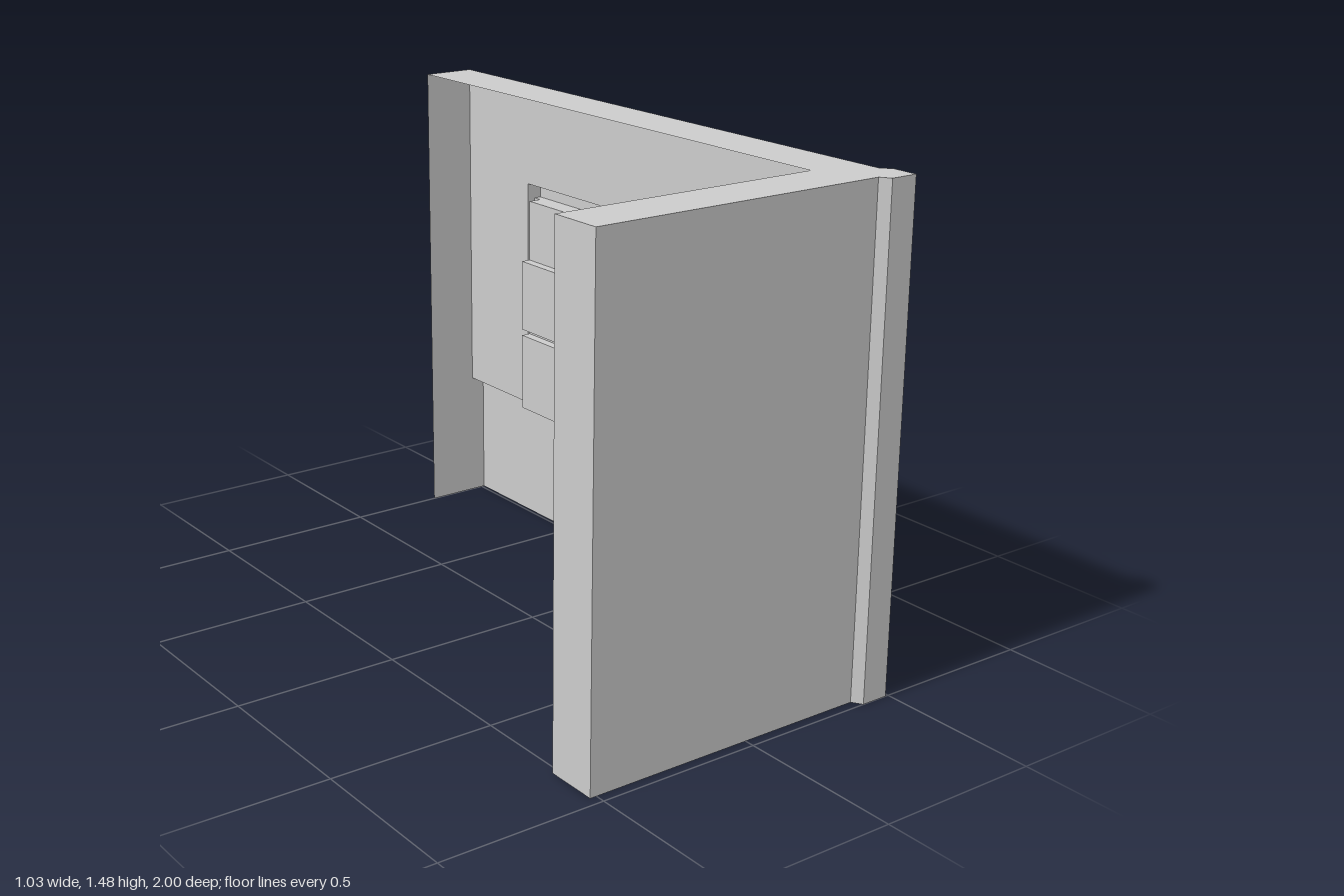
import * as THREE from 'three';

const material = new THREE.MeshStandardMaterial({ color: 0xcccccc, flatShading: true, side: THREE.DoubleSide });

const HEIGHT = 1.48, SILL = 0.41;      // wall top, dado top
const FACE = 0.465, DADO = 0.51;       // x of wall face and dado face
const GLASS = 0.42, BAR = 0.45, TRIM = 0.492, HEAD = 0.515;
const HALF = 0.247, TRIM_W = 0.03, LINTEL = 1.105, HEAD_TOP = 1.155;
const WINDOWS = [0.403, -0.423];       // z of the window centres

function mesh(name, geometry) {
  const m = new THREE.Mesh(geometry, material);
  m.name = name;
  return m;
}

// Upright surface along a path of [x, z] points; faces to the right of travel
function ribbon(name, path, y0, y1) {
  const pos = [];
  for (let i = 0; i < path.length - 1; i++) {
    const [ax, az] = path[i], [bx, bz] = path[i + 1];
    pos.push(ax, y0, az, bx, y0, bz, bx, y1, bz, ax, y0, az, bx, y1, bz, ax, y1, az);
  }
  const g = new THREE.BufferGeometry();
  g.setAttribute('position', new THREE.Float32BufferAttribute(pos, 3));
  g.computeVertexNormals();
  return mesh(name, g);
}

// Level surface with an outline of [x, z] points
function slab(name, outline, y, down = false) {
  const shape = new THREE.Shape(outline.map(([x, z]) => new THREE.Vector2(x, down ? z : -z)));
  const g = new THREE.ShapeGeometry(shape);
  g.rotateX(down ? Math.PI / 2 : -Math.PI / 2);
  g.translate(0, y, 0);
  return mesh(name, g);
}

const ledge = (name, x0, x1, z0, z1, y, down) =>
  slab(name, [[x0, z0], [x1, z0], [x1, z1], [x0, z1]], y, down);

function createWindow(zc) {
  const w = new THREE.Group();
  w.name = 'window';
  const a = zc + HALF, b = zc - HALF, ai = a - TRIM_W, bi = b + TRIM_W, m = 0.015;

  // Cross-sections: side trims with panes and mullion, or with a solid bar
  const left = [[FACE, a], [TRIM, a], [TRIM, ai]];
  const right = [[TRIM, bi], [TRIM, b], [FACE, b]];
  const panes = [...left, [GLASS, ai], [GLASS, zc + m], [BAR, zc + m],
    [BAR, zc - m], [GLASS, zc - m], [GLASS, bi], ...right];
  const solid = [...left, [BAR, ai], [BAR, bi], ...right];

  w.add(
    ribbon('lowerPanes', panes, SILL, 0.66),
    ribbon('crossBar', solid, 0.66, 0.68),
    ribbon('upperPanes', panes, 0.68, 0.91),
    ribbon('topPanel', solid, 0.91, LINTEL),
    ledge('crossBarUnderside', GLASS, BAR, ai, bi, 0.66, true),
    ledge('crossBarTop', GLASS, BAR, ai, bi, 0.68),
    ledge('panelUnderside', GLASS, BAR, ai, bi, 0.91, true),
    ledge('sill', GLASS, FACE, ai, bi, SILL),
    ribbon('head', [[FACE, a], [HEAD, a], [HEAD, b], [FACE, b]], LINTEL, HEAD_TOP),
    ledge('headTop', FACE, HEAD, a, b, HEAD_TOP),
    ledge('headUnderside', BAR, HEAD, ai, bi, LINTEL, true),
    ledge('headEndUnderside', TRIM, HEAD, a, ai, LINTEL, true),
    ledge('headEndUnderside', TRIM, HEAD, bi, b, LINTEL, true)
  );
  return w;
}

export function createModel() {
  const group = new THREE.Group();

  // Short front wall and corner pillar
  const front = [[-0.52, 0.81], [-0.52, 0.97], [0.385, 0.97]];
  const pillar = [[0.385, 0.97], [0.405, 1], [0.49, 1], [0.49, 0.92]];
  group.add(ribbon('frontWall', front, 0, HEIGHT));
  group.add(ribbon('cornerPillar', pillar, 0, HEIGHT));
  group.add(ribbon('pillarChamfer', [[0.49, 0.92], [FACE, 0.89]], SILL, HEIGHT));
  group.add(slab('pillarFoot', [[0.43, 1], [0.49, 1], [0.49, 0.92], [DADO, 0.89]], 0, true));

  // Long side wall with notches cut up from the dado for the windows
  const s = new THREE.Shape();
  s.moveTo(-0.89, SILL);
  for (const zc of WINDOWS) {
    s.lineTo(-zc - HALF, SILL);
    s.lineTo(-zc - HALF, HEAD_TOP);
    s.lineTo(-zc + HALF, HEAD_TOP);
    s.lineTo(-zc + HALF, SILL);
  }
  s.lineTo(1, SILL);
  s.lineTo(1, HEIGHT);
  s.lineTo(-0.89, HEIGHT);
  const side = new THREE.ShapeGeometry(s);
  side.rotateY(Math.PI / 2);
  side.translate(FACE, 0, 0);
  group.add(mesh('sideWall', side));
  group.add(ribbon('sideWallEnd', [[FACE, -1], [0.3, -1]], 0, HEIGHT));

  // Projecting dado below the windows
  group.add(ribbon('dado', [[0.49, 0.92], [DADO, 0.89], [DADO, -1], [FACE, -1]], 0, SILL));
  group.add(slab('dadoTop', [[FACE, 0.89], [0.49, 0.92], [DADO, 0.89], [DADO, -1], [FACE, -1]], SILL));

  // Top of both walls
  group.add(slab('wallTop',
    [...front, ...pillar.slice(1), [FACE, 0.89], [FACE, -1], [0.3, -1], [0.3, 0.81]], HEIGHT));

  for (const zc of WINDOWS) group.add(createWindow(zc));
  return group;
}
